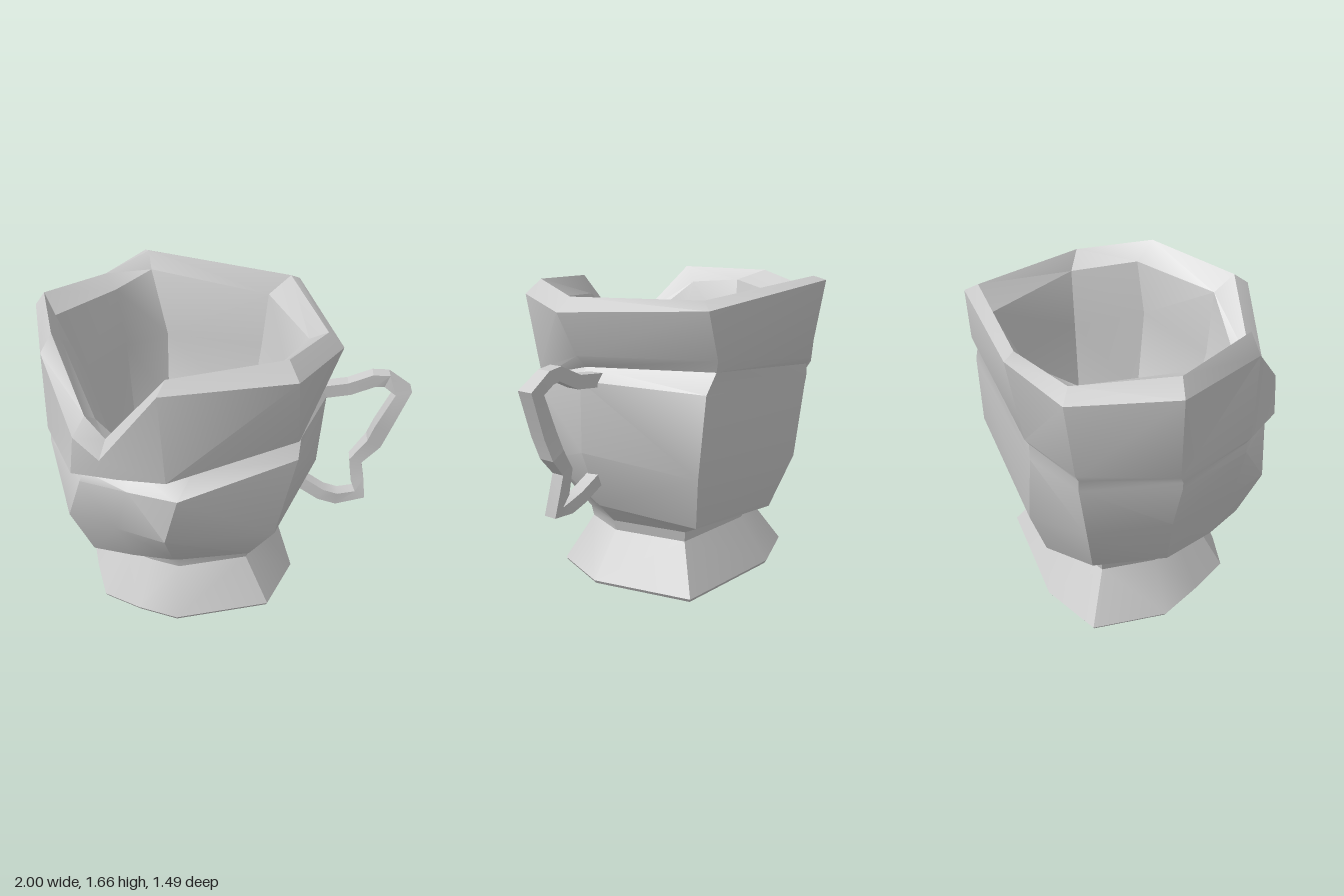
import * as THREE from 'three';
import { toCreasedNormals } from 'three/addons/utils/BufferGeometryUtils.js';

const material = new THREE.MeshStandardMaterial({ color: 0xcccccc });

// Skin a stack of closed cross-sections, splitting each quad on its shorter diagonal, and cap both ends.
function loft(rings, crease) {
  const n = rings[0].length;
  const pos = rings.flat(2);
  const idx = [];
  const dist = (p, q) => Math.hypot(p[0] - q[0], p[1] - q[1], p[2] - q[2]);
  for (let i = 0; i < rings.length - 1; i++) {
    for (let j = 0; j < n; j++) {
      const k = (j + 1) % n;
      const a = i * n + j, b = i * n + k;
      if (dist(rings[i][j], rings[i + 1][k]) < dist(rings[i][k], rings[i + 1][j])) idx.push(a, a + n, b + n, a, b + n, b);
      else idx.push(a, a + n, b, b, a + n, b + n);
    }
  }
  [0, rings.length - 1].forEach((r, end) => {
    const c = pos.length / 3;
    for (let k = 0; k < 3; k++) pos.push(rings[r].reduce((s, p) => s + p[k], 0) / n);
    for (let j = 0; j < n; j++) {
      const a = r * n + j, b = r * n + (j + 1) % n;
      if (end) idx.push(c, b, a); else idx.push(c, a, b);
    }
  });
  const g = new THREE.BufferGeometry();
  g.setAttribute('position', new THREE.Float32BufferAttribute(pos, 3));
  g.setIndex(idx);
  return toCreasedNormals(g, crease);
}

function part(name, geometry) {
  const mesh = new THREE.Mesh(geometry, material);
  mesh.name = name;
  return mesh;
}

// Crooked outline of the foot: [x, z], running left, back, right, front.
const footOutline = [[-0.8, -0.05], [-0.7, -0.44], [-0.36, -0.54], [0.3, -0.45], [0.43, 0.1],
  [0.3, 0.43], [-0.2, 0.58], [-0.42, 0.52], [-0.63, 0.43], [-0.72, 0.2]];
const footRing = (y, s) => footOutline.map(([x, z]) => [-0.19 + (x + 0.19) * s, y, 0.03 + (z - 0.03) * s]);

// Belly, then the crease where the upper band has slipped over it at the front.
const belly = [
  [[-0.78, 0.43, -0.05], [-0.62, 0.4, -0.4], [-0.36, 0.37, -0.54], [0.3, 0.44, -0.48], [0.4, 0.47, 0.08],
    [0.19, 0.48, 0.51], [-0.21, 0.44, 0.55], [-0.43, 0.44, 0.53], [-0.65, 0.43, 0.48], [-0.73, 0.43, 0.25]],
  [[-0.88, 0.76, -0.1], [-0.72, 0.72, -0.48], [-0.42, 0.68, -0.65], [0.41, 0.75, -0.56], [0.53, 0.8, 0.08],
    [0.32, 0.63, 0.51], [-0.22, 0.72, 0.73], [-0.48, 0.72, 0.64], [-0.74, 0.72, 0.55], [-0.82, 0.75, 0.3]],
  [[-0.97, 1.05, -0.12], [-0.76, 1.05, -0.54], [-0.5, 1.1, -0.66], [0.38, 1.17, -0.58], [0.56, 1.19, 0.05],
    [0.42, 1.07, 0.46], [-0.15, 0.98, 0.73], [-0.4, 0.98, 0.67], [-0.65, 0.98, 0.6], [-0.86, 1.03, 0.32]],
  [[-0.97, 1.09, -0.12], [-0.76, 1.11, -0.54], [-0.5, 1.19, -0.66], [0.31, 1.27, -0.59], [0.5, 1.25, 0.06],
    [0.43, 1.16, 0.4], [-0.09, 1.07, 0.62], [-0.36, 1.05, 0.6], [-0.63, 1.03, 0.58], [-0.85, 1.08, 0.32]],
  [[-0.98, 1.13, -0.14], [-0.77, 1.15, -0.56], [-0.5, 1.22, -0.68], [0.33, 1.33, -0.61], [0.55, 1.31, 0.08],
    [0.42, 1.18, 0.46], [-0.2, 1.09, 0.73], [-0.44, 1.07, 0.69], [-0.68, 1.05, 0.63], [-0.86, 1.11, 0.34]],
];

// Rim: outer edge and crest, with the deep V-shaped chip at the front.
const rim = [
  [[-1, 1.56, -0.16], [-0.75, 1.52, -0.6], [-0.5, 1.65, -0.75], [0.4, 1.57, -0.6], [0.62, 1.53, 0.14],
    [0.4, 1.57, 0.57], [-0.22, 1.57, 0.74], [-0.52, 1.17, 0.68], [-0.65, 1.26, 0.63], [-0.84, 1.55, 0.35]],
  [[-0.94, 1.64, -0.14], [-0.7, 1.58, -0.55], [-0.47, 1.67, -0.69], [0.35, 1.61, -0.54], [0.54, 1.6, 0.12],
    [0.35, 1.65, 0.5], [-0.19, 1.62, 0.67], [-0.5, 1.24, 0.6], [-0.6, 1.34, 0.56], [-0.78, 1.65, 0.33]],
];

// Thick-walled hollow, curving in to a small floor.
const inside = [
  [[-0.85, 1.58, 0], [-0.63, 1.52, -0.47], [-0.45, 1.58, -0.63], [0.23, 1.5, -0.52], [0.45, 1.52, 0.04],
    [0.31, 1.56, 0.38], [-0.15, 1.52, 0.58], [-0.47, 1.22, 0.54], [-0.56, 1.3, 0.52], [-0.75, 1.56, 0.26]],
  [[-0.74, 1.22, -0.05], [-0.57, 1.22, -0.37], [-0.36, 1.21, -0.56], [0.2, 1.2, -0.48], [0.38, 1.22, 0.02],
    [0.22, 1.28, 0.38], [-0.14, 1.15, 0.57], [-0.4, 1.08, 0.5], [-0.47, 1.1, 0.46], [-0.62, 1.15, 0.28]],
  [[-0.65, 0.82, -0.07], [-0.54, 0.82, -0.3], [-0.35, 0.82, -0.44], [0.15, 0.82, -0.4], [0.28, 0.82, -0.01],
    [0.17, 0.8, 0.32], [-0.13, 0.78, 0.48], [-0.33, 0.78, 0.43], [-0.41, 0.78, 0.38], [-0.53, 0.8, 0.2]],
  [[-0.51, 0.52, -0.11], [-0.46, 0.52, -0.18], [-0.34, 0.52, -0.25], [0.06, 0.52, -0.25], [0.11, 0.52, -0.06],
    [0.07, 0.52, 0.15], [-0.1, 0.52, 0.3], [-0.2, 0.52, 0.28], [-0.28, 0.52, 0.23], [-0.39, 0.52, 0.08]],
];

// Kinked, square-section handle swept along its bent path.
function handleGeometry() {
  const path = [[0.46, 1.19, 0], [0.68, 1.22, -0.02], [0.8, 1.28, -0.01], [0.87, 1.275, -0.02], [0.96, 1.215, -0.01],
    [0.87, 1, 0.01], [0.84, 0.89, -0.01], [0.75, 0.78, 0.01], [0.77, 0.66, 0.02], [0.79, 0.57, 0.04],
    [0.66, 0.555, 0.07], [0.57, 0.58, 0.07], [0.4, 0.68, 0.05]].map(p => new THREE.Vector3(...p));
  const zAxis = new THREE.Vector3(0, 0, 1);
  const rings = path.map((p, i) => {
    const before = path[Math.max(i - 1, 0)], after = path[Math.min(i + 1, path.length - 1)];
    const t = after.clone().sub(p).normalize().add(p.clone().sub(before).normalize()).setZ(0).normalize();
    const side = t.cross(zAxis);
    const r = i > 3 && i < 7 ? 0.06 : 0.05;
    return [0, 1, 2, 3].map(k => {
      const a = Math.PI / 4 + k * Math.PI / 2;
      return p.clone().addScaledVector(side, r * Math.cos(a)).addScaledVector(zAxis, r * Math.sin(a)).toArray();
    });
  });
  return loft(rings, 0.3);
}

export function createModel() {
  const model = new THREE.Group();
  model.name = 'crookedMug';
  const foot = [[0.01, 0.98], [0.03, 1], [0.28, 0.73], [0.34, 0.75]].map(([y, s]) => footRing(y, s));
  model.add(part('cup', loft([...foot, ...belly, ...rim, ...inside], 0.55)));
  model.add(part('handle', handleGeometry()));
  return model;
}
